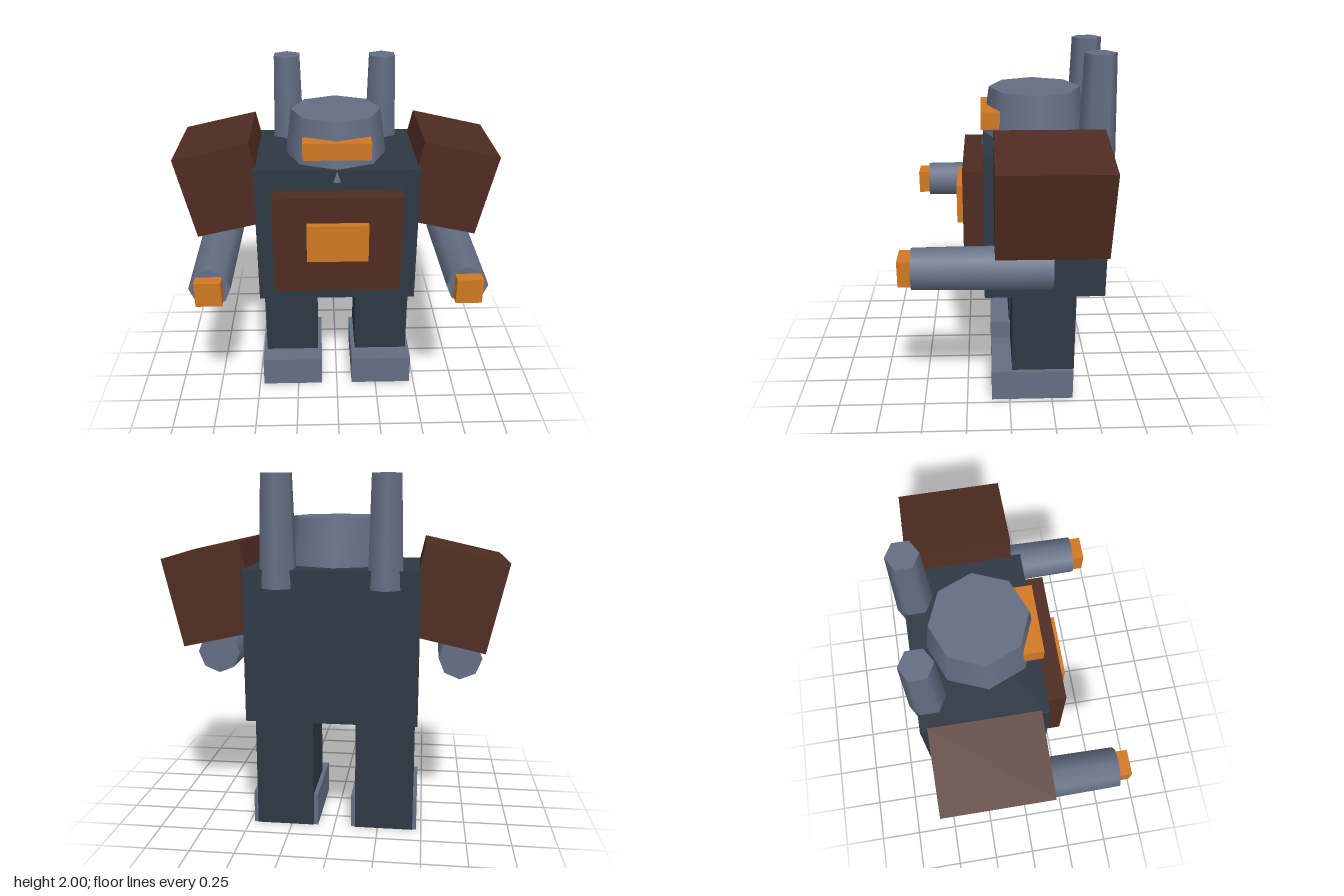
import * as THREE from 'three';

const material = (name, color) => {
  const m = new THREE.MeshStandardMaterial({ color });
  m.name = name;
  return m;
};

export function createModel() {
  const robot = new THREE.Group();
  robot.name = 'robot';
  const darkSteel = material('darkSteel', 0x2e3843);
  const greySteel = material('greySteel', 0x636e84);
  const brownArmour = material('brownArmour', 0x4e2b21);
  const orangeGlow = material('orangeGlow', 0xd07822);

  const add = (name, geometry, mat, x, y, z) => {
    const mesh = new THREE.Mesh(geometry, mat);
    mesh.name = name;
    mesh.position.set(x, y, z);
    robot.add(mesh);
    return mesh;
  };
  // Box given by its limits on each axis
  const box = (name, mat, [x0, x1], [y0, y1], [z0, z1]) =>
    add(name, new THREE.BoxGeometry(x1 - x0, y1 - y0, z1 - z0), mat,
      (x0 + x1) / 2, (y0 + y1) / 2, (z0 + z1) / 2);

  // Body and chest
  box('torso', darkSteel, [-0.466, 0.466], [0.68, 1.51], [-0.535, 0.14]);
  box('chestPlate', brownArmour, [-0.365, 0.365], [0.8, 1.388], [0.1, 0.253]);
  box('chestCore', orangeGlow, [-0.174, 0.174], [1.015, 1.238], [0.2, 0.293]);

  // Head and visor
  add('head', new THREE.CylinderGeometry(0.257, 0.302, 0.334, 8), greySteel, 0, 1.602, -0.153);
  box('visor', orangeGlow, [-0.19, 0.19], [1.57, 1.667], [0.045, 0.152]);

  for (const [side, s] of [['left', 1], ['right', -1]]) {
    const span = (a, b) => (s > 0 ? [a, b] : [-b, -a]);

    // Exhaust stack behind the shoulder
    add(side + 'Stack', new THREE.CylinderGeometry(0.086, 0.105, 0.59, 6), greySteel,
      s * 0.284, 1.705, -0.475);

    // Tilted shoulder block
    const shoulder = add(side + 'Shoulder', new THREE.BoxGeometry(0.44, 0.487, 0.572), brownArmour,
      s * 0.649, 1.3625, -0.2);
    shoulder.rotation.z = -s * 0.22;

    // Forearm barrel with its muzzle
    const arm = add(side + 'Arm', new THREE.CylinderGeometry(0.114, 0.123, 0.72, 8), greySteel,
      s * 0.697, 0.983, 0.15);
    arm.rotation.x = Math.PI / 2;
    box(side + 'Muzzle', orangeGlow, span(0.626, 0.768), [0.912, 1.054], [0.44, 0.578]);

    // Leg and foot
    box(side + 'Leg', darkSteel, span(0.12, 0.45), [0, 0.72], [-0.377, -0.015]);
    box(side + 'Foot', greySteel, span(0.096, 0.472), [0.001, 0.19], [-0.374, 0.105]);
  }
  return robot;
}
